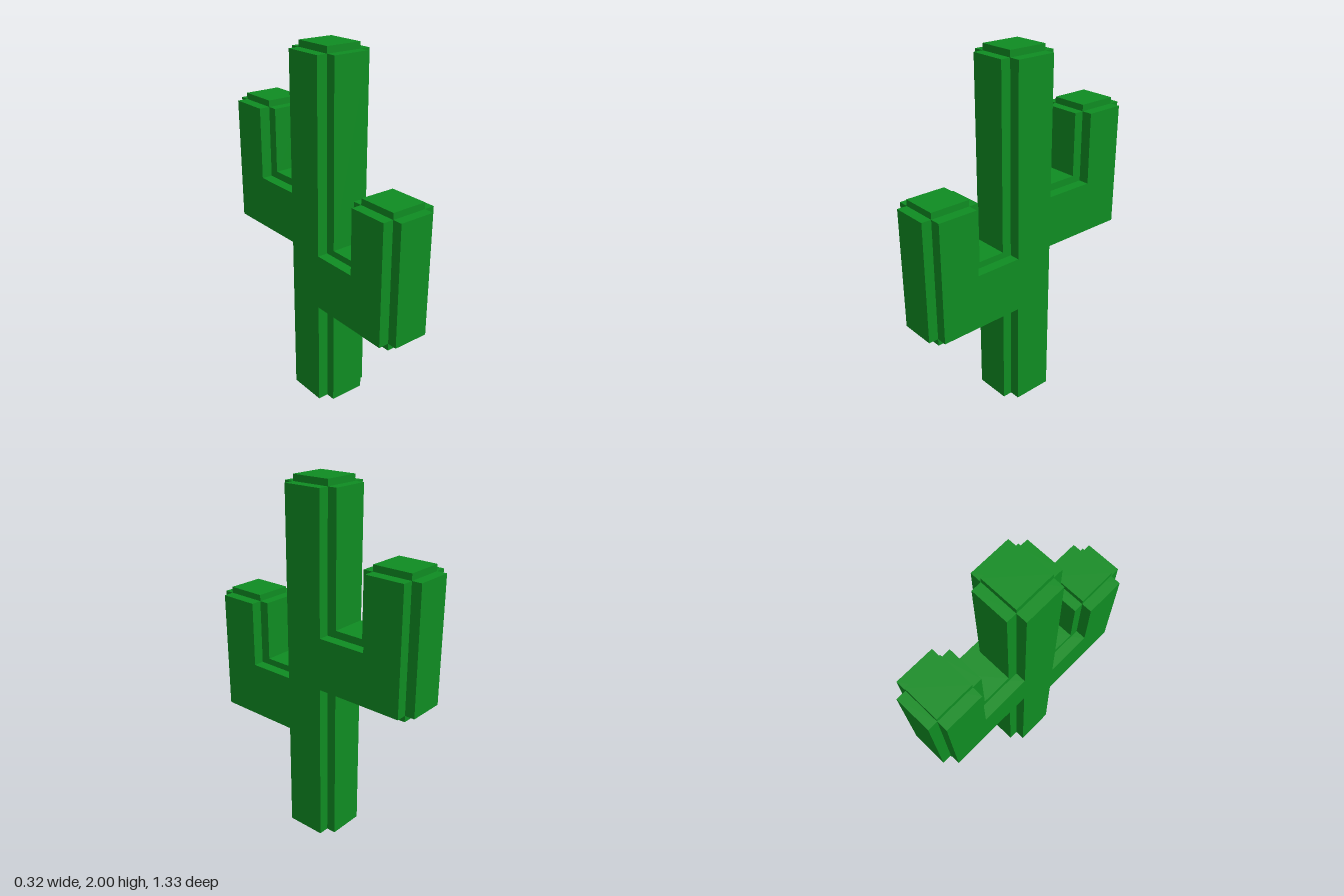
import * as THREE from 'three';

const green = new THREE.MeshStandardMaterial({ color: 0x0f8c22, flatShading: true });

// Extrudes a side outline of [z, y] points along x, from x0 to x1
function slab(name, outline, x0, x1) {
  const shape = new THREE.Shape(outline.map(([z, y]) => new THREE.Vector2(z, y)));
  const geometry = new THREE.ExtrudeGeometry(shape, { depth: x1 - x0, bevelEnabled: false });
  geometry.rotateY(-Math.PI / 2).translate(x1, 0, 0);
  const mesh = new THREE.Mesh(geometry, green);
  mesh.name = name;
  return mesh;
}

export function createModel() {
  const cactus = new THREE.Group();
  cactus.name = 'cactus';

  // Wide core: trunk with a low front arm and a high back arm
  const core = [
    [-0.105, 0], [0.12, 0], [0.12, 0.61], [0.61, 0.61], [0.61, 1.285], [0.385, 1.285],
    [0.385, 0.92], [0.12, 0.92], [0.12, 1.965], [-0.105, 1.965], [-0.105, 1.21],
    [-0.385, 1.21], [-0.385, 1.605], [-0.605, 1.605], [-0.605, 0.92], [-0.105, 0.92],
  ];
  cactus.add(slab('trunkAndArms', core, -0.165, 0.16));

  // Narrow ribs standing proud of the core, with stepped tips and elbows
  const ribs = [
    [-0.16, 0], [0.175, 0],
    // front arm
    [0.175, 0.57], [0.61, 0.57], [0.61, 0.61], [0.665, 0.61], [0.665, 1.285], [0.61, 1.285],
    [0.61, 1.32], [0.385, 1.32], [0.385, 1.285], [0.33, 1.285], [0.33, 0.955], [0.175, 0.955],
    // trunk tip
    [0.175, 1.965], [0.12, 1.965], [0.12, 2], [-0.105, 2], [-0.105, 1.965], [-0.16, 1.965],
    // back arm
    [-0.16, 1.25], [-0.33, 1.25], [-0.33, 1.605], [-0.385, 1.605], [-0.385, 1.64], [-0.605, 1.64],
    [-0.605, 1.605], [-0.66, 1.605], [-0.66, 0.92], [-0.605, 0.92], [-0.605, 0.885], [-0.16, 0.885],
  ];
  cactus.add(slab('raisedRibs', ribs, -0.105, 0.1));

  return cactus;
}
